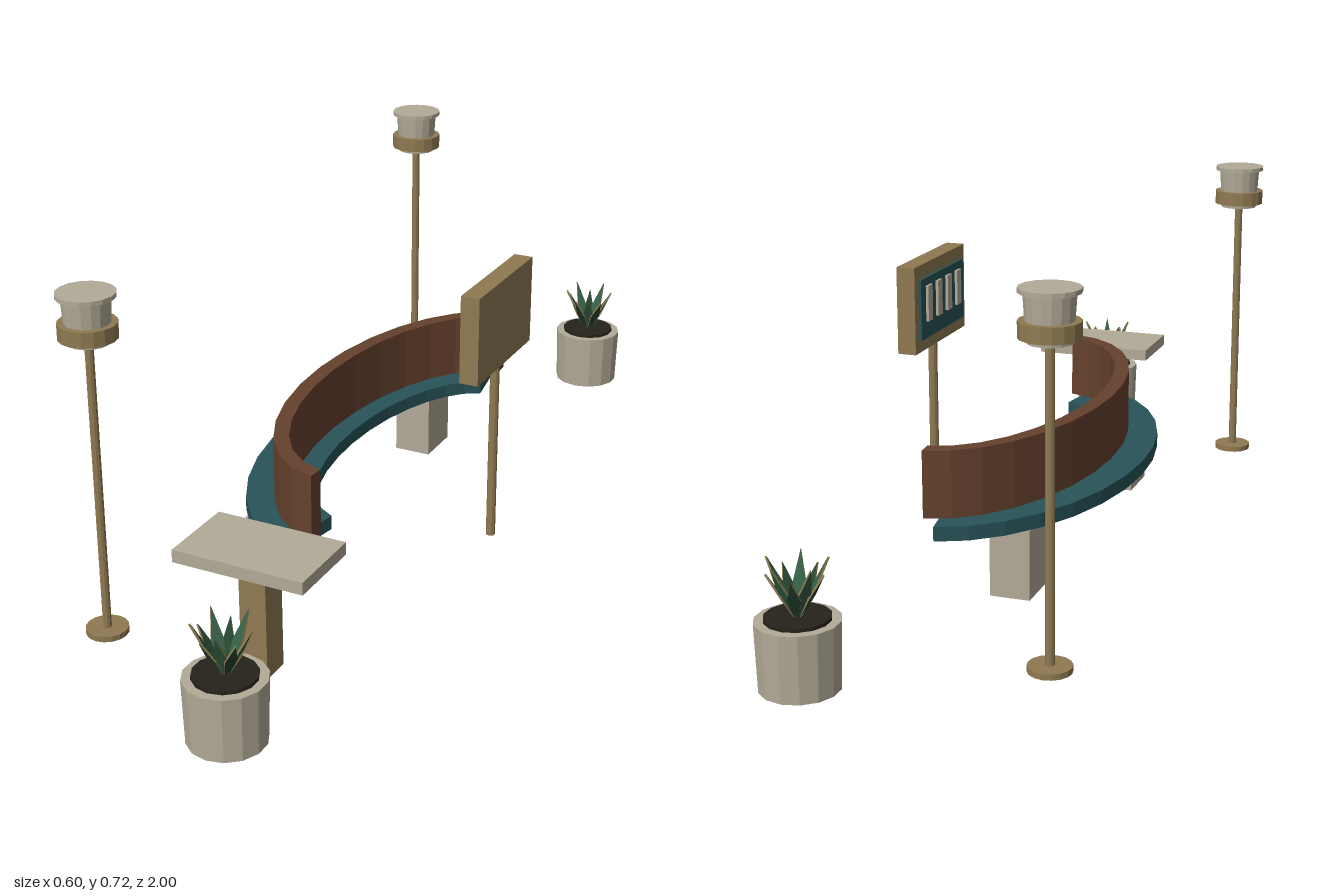
import * as THREE from 'three';

const mat = (name, color, extra = {}) => new THREE.MeshStandardMaterial({ name, color, ...extra });

export function createModel() {
  const concrete = mat('concrete', 0xb3ab98);
  const bronze = mat('bronze', 0x8f7a52);
  const teal = mat('teal', 0x285359);
  const wood = mat('wood', 0x66412d);
  const soil = mat('soil', 0x25231a);
  const leafLight = mat('leafGreen', 0x355f45);
  const leafDark = mat('leafDarkGreen', 0x27452f);

  const root = new THREE.Group();
  root.name = 'plaza';

  const add = (parent, name, geometry, material, x = 0, y = 0, z = 0) => {
    const mesh = new THREE.Mesh(geometry, material);
    mesh.name = name;
    mesh.position.set(x, y, z);
    parent.add(mesh);
    return mesh;
  };
  const group = (name, x = 0, z = 0) => {
    const g = new THREE.Group();
    g.name = name;
    g.position.set(x, 0, z);
    root.add(g);
    return g;
  };
  // Box given by its limits on each axis
  const box = (parent, name, material, [x0, x1], [y0, y1], [z0, z1]) =>
    add(parent, name, new THREE.BoxGeometry(x1 - x0, y1 - y0, z1 - z0), material,
      (x0 + x1) / 2, (y0 + y1) / 2, (z0 + z1) / 2);
  // Upright faceted cylinder from y0 to y1
  const drum = (parent, name, material, rBottom, rTop, y0, y1, sides, x = 0, z = 0) => {
    const g = new THREE.CylinderGeometry(rTop, rBottom, y1 - y0, sides).toNonIndexed();
    g.computeVertexNormals();
    return add(parent, name, g, material, x, (y0 + y1) / 2, z);
  };

  // Curved bench: bands that follow an elliptical arc
  const bench = group('bench');
  const band = (name, material, cx, a, b, width, endAngle, y0, y1) => {
    const steps = 14;
    const points = [];
    for (const side of [1, -1]) {
      for (let i = 0; i <= steps; i++) {
        const t = side * endAngle * (2 * i / steps - 1);
        const h = side * width / 2;
        points.push(new THREE.Vector2(cx - (a + h) * Math.cos(t), (b + h) * Math.sin(t)));
      }
    }
    const g = new THREE.ExtrudeGeometry(new THREE.Shape(points), { depth: y1 - y0, bevelEnabled: false });
    g.rotateX(-Math.PI / 2);
    add(bench, name, g, material, 0, y0, 0);
  };
  band('seat', teal, 0.115, 0.25, 0.46, 0.15, 1.403, 0.148, 0.178);
  band('backrest', wood, 0.117, 0.24, 0.472, 0.034, 1.50, 0.178, 0.318);
  for (const s of [1, -1]) {
    box(bench, 'benchLeg', concrete, [-0.097, -0.012], [0, 0.148], s > 0 ? [0.3, 0.412] : [-0.412, -0.3]);
  }

  // Side table
  const table = group('sideTable');
  box(table, 'tableTop', concrete, [-0.042, 0.234], [0.236, 0.262], [0.602, 0.772]);
  box(table, 'tableLeg', bronze, [0.07, 0.127], [0, 0.236], [0.66, 0.722]);

  // Sign board with a panel and four bars on its -x face
  const sign = group('sign');
  drum(sign, 'signPost', bronze, 0.01, 0.01, 0, 0.41, 10, 0.277);
  box(sign, 'signBoard', bronze, [0.257, 0.298], [0.41, 0.6], [-0.141, 0.141]);
  box(sign, 'signPanel', teal, [0.251, 0.257], [0.437, 0.57], [-0.12, 0.12]);
  for (let i = 0; i < 4; i++) {
    const z = (i - 1.5) * 0.055;
    box(sign, 'signBar', concrete, [0.245, 0.251], [0.475, 0.553], [z - 0.012, z + 0.012]);
  }

  // Pointed leaf blade with bronze edges, standing on its base
  const leafShape = new THREE.Shape();
  leafShape.moveTo(-0.004, 0);
  leafShape.lineTo(0.004, 0);
  leafShape.lineTo(0.012, 0.5);
  leafShape.lineTo(0, 1);
  leafShape.lineTo(-0.012, 0.5);
  const leafGeometry = (length, tilt, turn) => {
    const g = new THREE.ExtrudeGeometry(leafShape, { depth: 0.004, bevelEnabled: false });
    g.scale(1, length, 1);
    g.rotateX(tilt);
    g.translate(0, 0, 0.003);
    g.rotateY(turn);
    return g;
  };

  for (const s of [1, -1]) {
    // Lamp
    const lamp = group('lamp', -0.243, s * 0.71);
    drum(lamp, 'lampBase', bronze, 0.043, 0.043, 0, 0.012, 16);
    drum(lamp, 'lampPole', bronze, 0.009, 0.009, 0.012, 0.62, 10);
    drum(lamp, 'lampHead', concrete, 0.042, 0.048, 0.619, 0.709, 16);
    drum(lamp, 'lampCollar', bronze, 0.0575, 0.0575, 0.628, 0.659, 16);
    drum(lamp, 'lampCap', concrete, 0.0575, 0.0575, 0.709, 0.718, 16);

    // Planter with a spiky plant
    const planter = group('planter', 0.157, s * 0.92);
    drum(planter, 'pot', concrete, 0.076, 0.08, 0, 0.131, 14);
    drum(planter, 'soil', soil, 0.062, 0.062, 0.13, 0.138, 14);
    for (let i = 0; i < 10; i++) {
      const even = i % 2 === 0;
      const g = leafGeometry(even ? 0.12 : 0.1, even ? 0.47 : 0.52, (i / 10) * Math.PI * 2 + 0.3);
      add(planter, 'leaf', g, [even ? leafLight : leafDark, bronze], 0, 0.136, 0);
    }
  }

  return root;
}
